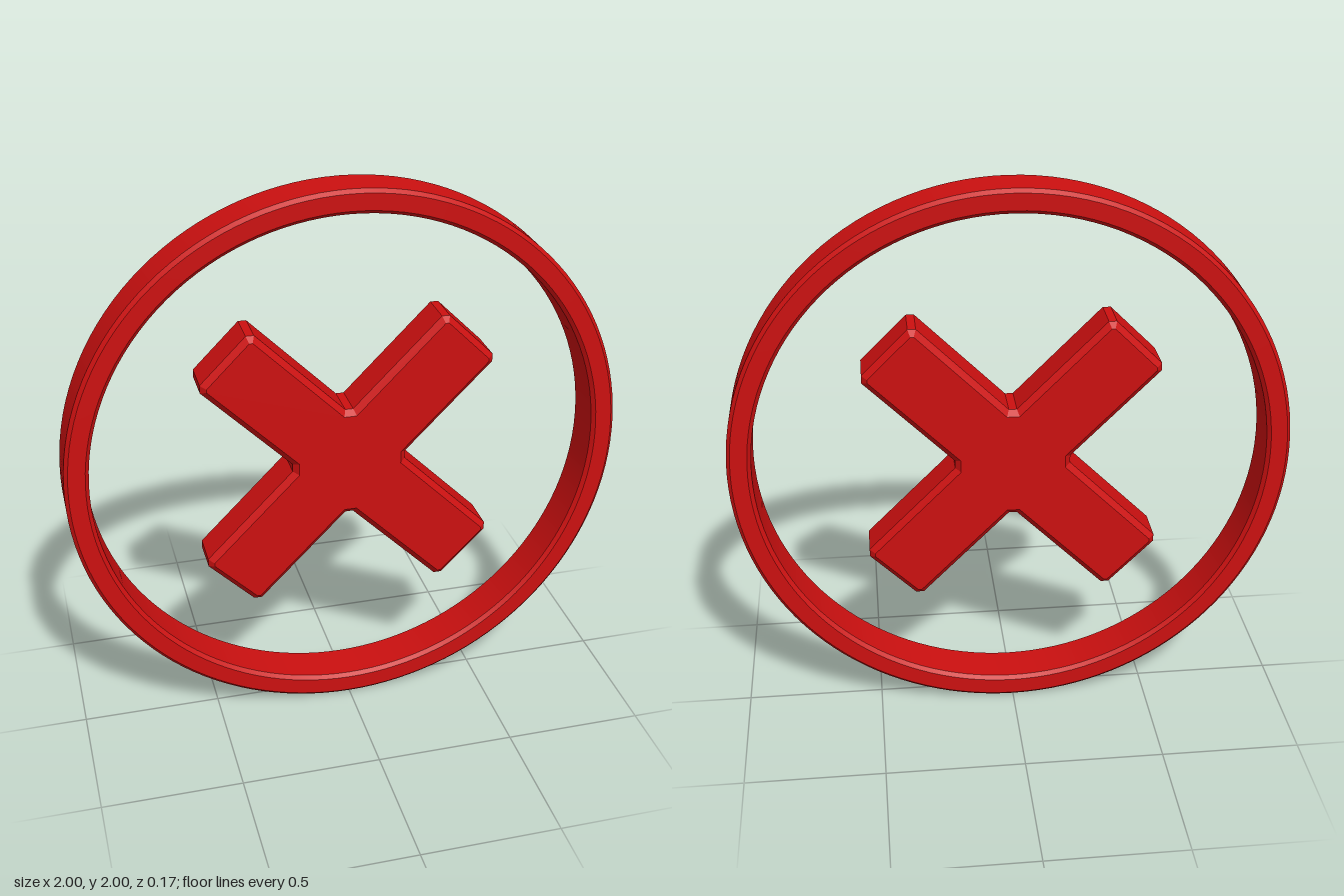
import * as THREE from 'three';
import { toCreasedNormals } from 'three/addons/utils/BufferGeometryUtils.js';

const HALF_DEPTH = 0.087;

export function createModel() {
  const group = new THREE.Group();
  group.name = 'crossInRing';
  const red = new THREE.MeshStandardMaterial({ color: 0xcc1010 });

  const add = (name, geometry) => {
    const mesh = new THREE.Mesh(geometry, red);
    mesh.name = name;
    mesh.position.y = 1;
    group.add(mesh);
    return mesh;
  };

  // Ring: a chamfered rectangular section turned about the z axis
  const outer = 1, inner = 0.915, b = 0.013, d = HALF_DEPTH;
  const section = [
    [outer, -d + b], [outer, d - b], [outer - b, d], [inner + b, d],
    [inner, d - b], [inner, -d + b], [inner + b, -d], [outer - b, -d], [outer, -d + b],
  ].map(([r, y]) => new THREE.Vector2(r, y));
  const ringGeometry = new THREE.LatheGeometry(section, 128);
  ringGeometry.rotateX(Math.PI / 2);
  add('ring', toCreasedNormals(ringGeometry, 0.4));

  // Cross: a plus outline with every corner cut, turned to stand diagonally
  const L = 0.62, W = 0.135, c = 0.02;
  const outline = [];
  for (let i = 0; i < 4; i++) {
    const arm = [
      [L - c, -W], [L, -W + c], [L, W - c], [L - c, W], // tip
      [W + c, W], [W, W + c], // filled notch
    ];
    for (const [x, y] of arm) {
      outline.push(new THREE.Vector2(x, y).rotateAround(new THREE.Vector2(), Math.PI / 4 + i * Math.PI / 2));
    }
  }
  const crossGeometry = new THREE.ExtrudeGeometry(new THREE.Shape(outline), {
    depth: 2 * (d - c),
    bevelEnabled: true,
    bevelSegments: 1,
    bevelThickness: c,
    bevelSize: c,
    bevelOffset: -c,
  });
  crossGeometry.translate(0, 0, -(d - c));
  add('cross', crossGeometry);

  return group;
}
